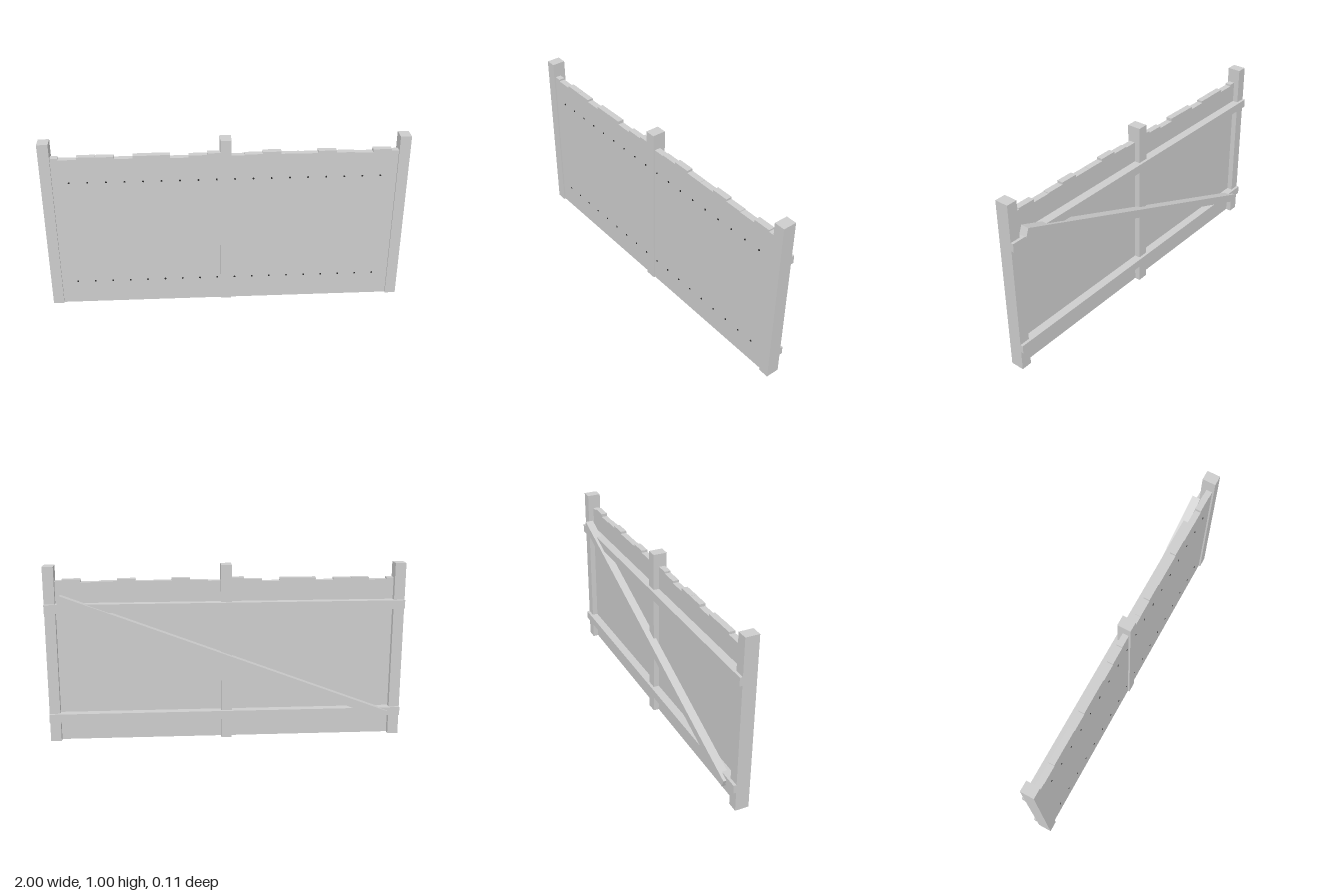
import * as THREE from 'three';

export function createModel() {
  const group = new THREE.Group();
  const wood = new THREE.MeshStandardMaterial({ color: 0xcccccc });
  wood.name = 'pale wood';
  const iron = new THREE.MeshStandardMaterial({ color: 0x2b2b2b });
  iron.name = 'dark iron';

  // Box given by its limits on each axis
  function slab(name, [x0, x1], [y0, y1], [z0, z1]) {
    const mesh = new THREE.Mesh(new THREE.BoxGeometry(x1 - x0, y1 - y0, z1 - z0), wood);
    mesh.position.set((x0 + x1) / 2, (y0 + y1) / 2, (z0 + z1) / 2);
    mesh.name = name;
    group.add(mesh);
    return mesh;
  }

  // Upright posts
  for (const x of [-0.97, 0, 0.97]) slab('post', [x - 0.03, x + 0.03], [0, 1], [-0.022, 0.055]);

  // Planks with uneven tops; the outermost two are tucked into the posts
  const tops = [0.915, 0.905, 0.918, 0.917, 0.905, 0.92, 0.921, 0.903, 0.915, 0.925,
    0.908, 0.913, 0.925, 0.912, 0.911, 0.924, 0.912, 0.908, 0.925, 0.916];
  tops.forEach((top, i) => {
    const x = -1 + i * 0.1;
    slab('plank', [Math.max(x, -0.97), Math.min(x + 0.1, 0.97)], [0, top], [0.01, 0.045]);
  });

  // Horizontal rails across the back
  const railHeights = [0.14, 0.769];
  for (const y of railHeights) slab('rail', [-1, 1], [y - 0.024, y + 0.024], [-0.038, 0.01]);

  // Diagonal brace, rising towards +x
  const brace = slab('brace', [-0.984, 0.984], [0.4485, 0.4965], [-0.055, -0.008]);
  brace.rotation.z = Math.atan2(0.7, 1.839);

  // Nail heads, one per plank on each rail
  const nailGeometry = new THREE.CylinderGeometry(0.005, 0.005, 0.008, 10).rotateX(Math.PI / 2);
  for (const y of railHeights) {
    for (let i = 0; i < 18; i++) {
      const nail = new THREE.Mesh(nailGeometry, iron);
      nail.position.set(-0.85 + i * 0.1, y, 0.044);
      nail.name = 'nail';
      group.add(nail);
    }
  }
  return group;
}
